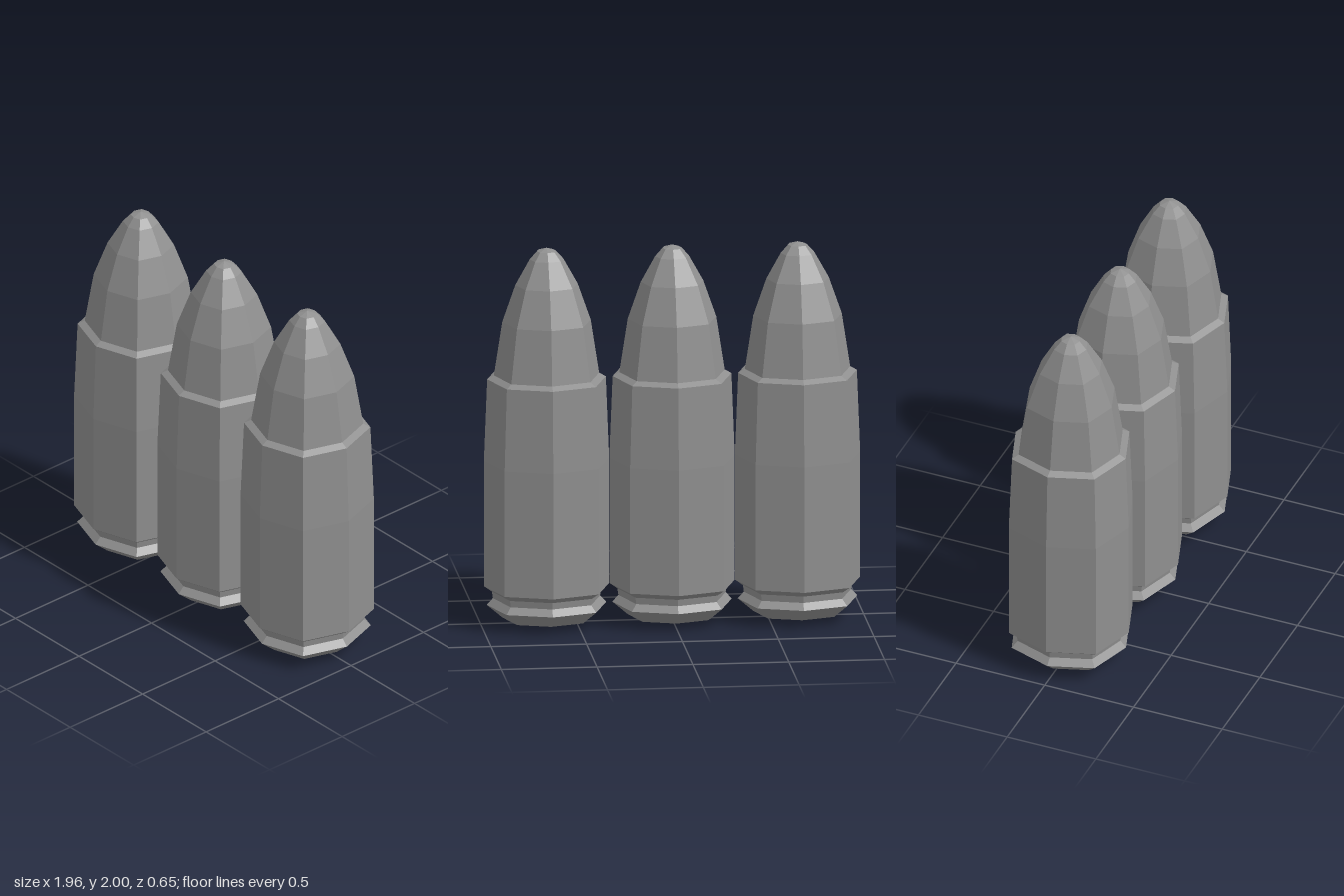
import * as THREE from 'three';

const SIDES = 8;
const SPACING = 0.655;

// Eight-sided lathe whose diagonal corners sit slightly further out
function turned(name, profile, material) {
  const points = profile.map(([r, y]) => new THREE.Vector2(r, y));
  const geometry = new THREE.LatheGeometry(points, SIDES);
  const pos = geometry.attributes.position;
  for (let i = 0; i < pos.count; i++) {
    const column = Math.floor(i / points.length);
    const k = column % 2 ? 1.06 : 1;
    pos.setXYZ(i, pos.getX(i) * k, pos.getY(i), pos.getZ(i) * k);
  }
  geometry.computeVertexNormals();
  const mesh = new THREE.Mesh(geometry, material);
  mesh.name = name;
  return mesh;
}

// Radius and height, from bottom to top
const casingProfile = [
  [0, 0], [0.23, 0.03], [0.312, 0.1],       // domed base and rim
  [0.28, 0.135], [0.285, 0.17],             // extractor groove
  [0.327, 0.2], [0.327, 0.87],              // straight wall
  [0.31, 1.305], [0.275, 1.325],            // taper and mouth
];
const tipProfile = [
  [0.275, 1.325], [0.231, 1.61], [0.163, 1.805],
  [0.088, 1.94], [0.05, 1.983], [0, 2],
];

export function createModel() {
  const model = new THREE.Group();
  model.name = 'cartridges';
  const material = new THREE.MeshStandardMaterial({ color: 0x8f8f8f, flatShading: true });

  // Three identical cartridges in a row
  ['rightCartridge', 'middleCartridge', 'leftCartridge'].forEach((name, i) => {
    const cartridge = new THREE.Group();
    cartridge.name = name;
    cartridge.position.x = (i - 1) * SPACING;
    cartridge.add(
      turned('casing', casingProfile, material),
      turned('bulletTip', tipProfile, material),
    );
    model.add(cartridge);
  });
  return model;
}
